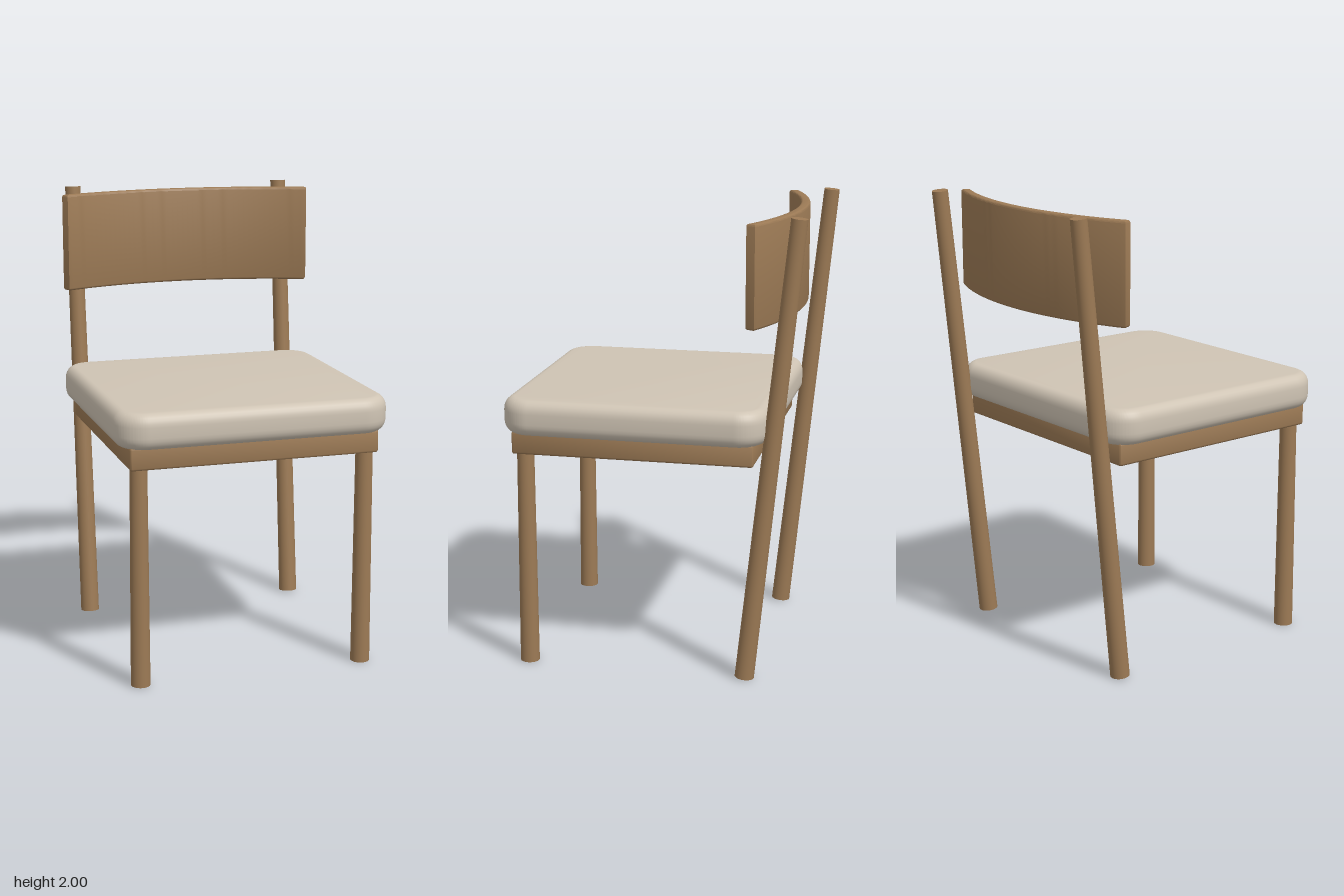
import * as THREE from 'three';
import { toCreasedNormals } from 'three/addons/utils/BufferGeometryUtils.js';

const wood = new THREE.MeshStandardMaterial({ color: 0x9c7a55 });
wood.name = 'wood';
const fabric = new THREE.MeshStandardMaterial({ color: 0xcfc4b4 });
fabric.name = 'cushion fabric';

function addMesh(parent, name, geometry, material) {
  const mesh = new THREE.Mesh(geometry, material);
  mesh.name = name;
  parent.add(mesh);
  return mesh;
}

// Plan outline (x, -z) extruded upwards from y0 to y1 with rounded edges
function slab(shape, y0, y1, bevelSize, bevelThickness, bevelSegments) {
  const geometry = new THREE.ExtrudeGeometry(shape, {
    depth: y1 - y0 - 2 * bevelThickness,
    bevelEnabled: true, bevelSize, bevelThickness, bevelSegments,
    bevelOffset: -bevelSize, curveSegments: 24,
  });
  geometry.rotateX(-Math.PI / 2);
  geometry.translate(0, y0 + bevelThickness, 0);
  return toCreasedNormals(geometry, 0.6);
}

// Rounded rectangle in plan, between z = back and z = front
function roundedPlan(halfWidth, back, front, r) {
  const s = new THREE.Shape();
  const lo = -front, hi = -back;
  s.absarc(halfWidth - r, lo + r, r, -Math.PI / 2, 0);
  s.absarc(halfWidth - r, hi - r, r, 0, Math.PI / 2);
  s.absarc(-halfWidth + r, hi - r, r, Math.PI / 2, Math.PI);
  s.absarc(-halfWidth + r, lo + r, r, Math.PI, Math.PI * 1.5);
  s.closePath();
  return s;
}

// Tapered round leg between two points
function leg(bottom, top, rBottom, rTop) {
  const axis = top.clone().sub(bottom);
  const geometry = new THREE.CylinderGeometry(rTop, rBottom, axis.length(), 32);
  geometry.applyQuaternion(new THREE.Quaternion().setFromUnitVectors(
    new THREE.Vector3(0, 1, 0), axis.clone().normalize()));
  const mid = bottom.clone().add(top).multiplyScalar(0.5);
  return geometry.translate(mid.x, mid.y, mid.z);
}

export function createModel() {
  const chair = new THREE.Group();
  chair.name = 'chair';

  // Seat
  addMesh(chair, 'seatCushion', slab(roundedPlan(0.6, -0.5, 0.65, 0.13), 1.045, 1.2, 0.045, 0.055, 6), fabric);
  addMesh(chair, 'seatFrame', slab(roundedPlan(0.547, -0.445, 0.605, 0.012), 0.955, 1.055, 0.01, 0.01, 3), wood);

  // Legs, mirrored left and right; the back ones lean and carry the backrest
  for (const [side, x] of [['left', 0.5], ['right', -0.5]]) {
    addMesh(chair, side + 'FrontLeg',
      leg(new THREE.Vector3(x, 0, 0.555), new THREE.Vector3(x, 0.97, 0.555), 0.042, 0.037), wood);
    addMesh(chair, side + 'BackLeg',
      leg(new THREE.Vector3(x, 0.004, -0.41), new THREE.Vector3(x, 1.997, -0.617), 0.042, 0.035), wood);
  }

  // Curved backrest, an arc bowed towards the back
  const R = 1.43, thickness = 0.042, half = 0.422, centre = -0.855;
  const arc = new THREE.Shape();
  arc.absarc(0, centre, R, Math.PI / 2 - half, Math.PI / 2 + half, false);
  arc.absarc(0, centre, R - thickness, Math.PI / 2 + half, Math.PI / 2 - half, true);
  arc.closePath();
  addMesh(chair, 'backrest', slab(arc, 1.545, 1.98, 0.01, 0.01, 3), wood);

  return chair;
}
